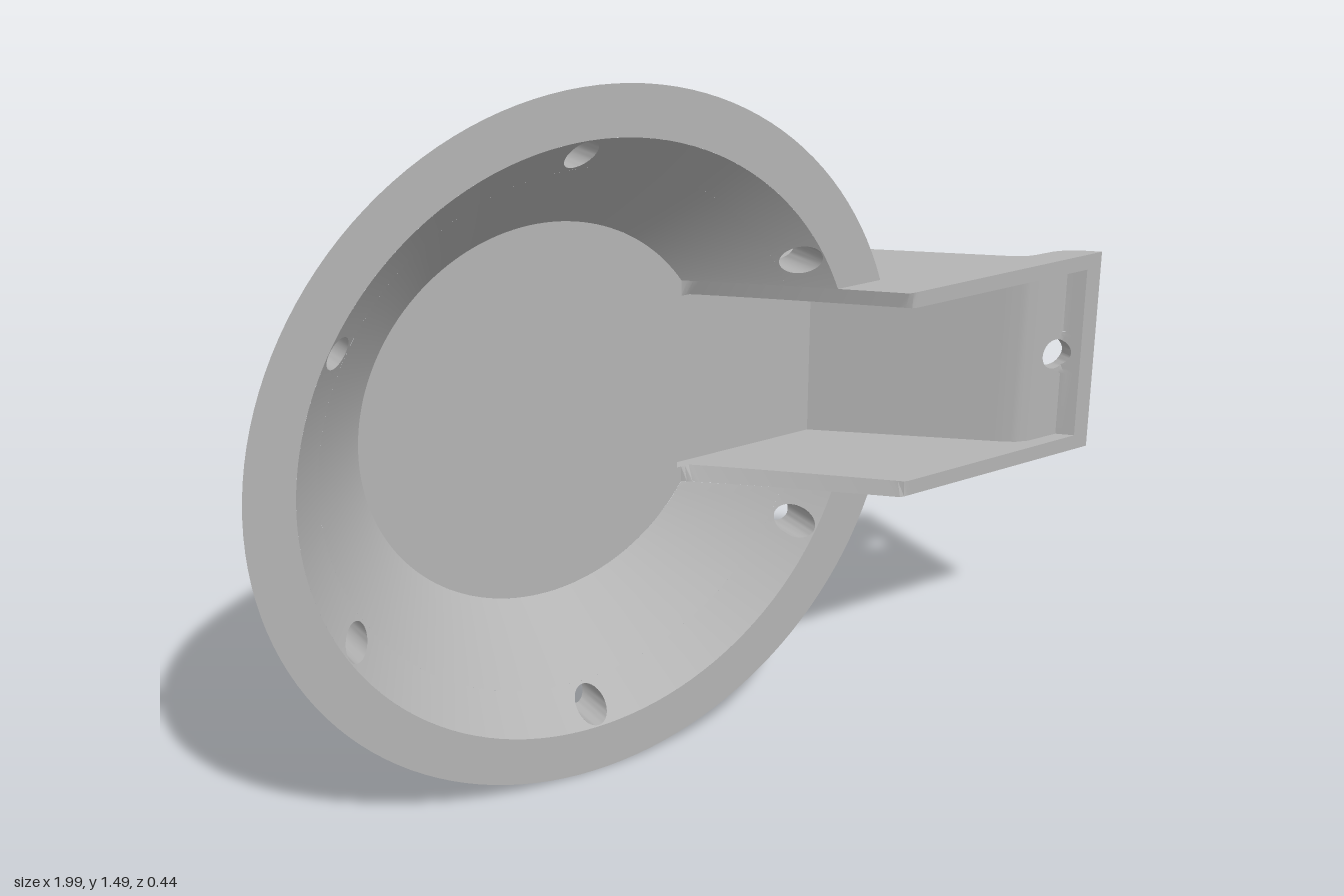
import * as THREE from 'three';
import { toCreasedNormals } from 'three/addons/utils/BufferGeometryUtils.js';

const TAU = Math.PI * 2;
const CX = -0.255, CY = 0.745;            // dish axis
const HALF = 0.235, IN = 0.2;             // arm half width, channel half width
const RIM = 0.11, FLOOR = -0.113, BACK = -0.22, FRONT = 0.215;
const START = 0.345;                      // where the arm meets the dish back
const RC = Math.hypot(START, HALF);       // radius of that corner
const lerp = THREE.MathUtils.lerp;

// Collects triangles; each is wound to face the direction given by dir(point)
class Builder {
  constructor() { this.pos = []; }
  tri(a, b, c, dir) {
    const n = b.clone().sub(a).cross(c.clone().sub(a));
    if (n.length() < 1e-10) return;
    const pts = n.dot(dir(a)) < 0 ? [a, c, b] : [a, b, c];
    for (const p of pts) this.pos.push(p.x, p.y, p.z);
  }
  grid(nu, nv, fn, dir) {
    const at = (i, j) => new THREE.Vector3(...fn(i / nu, j / nv));
    for (let i = 0; i < nu; i++) for (let j = 0; j < nv; j++) {
      const a = at(i, j), b = at(i + 1, j), c = at(i + 1, j + 1), d = at(i, j + 1);
      this.tri(a, b, c, dir);
      this.tri(a, c, d, dir);
    }
  }
  flat(shape, z, dir) {
    const g = new THREE.ShapeGeometry(shape, 96), p = g.attributes.position, ix = g.index.array;
    const at = (i) => new THREE.Vector3(p.getX(i), p.getY(i), z);
    for (let i = 0; i < ix.length; i += 3) this.tri(at(ix[i]), at(ix[i + 1]), at(ix[i + 2]), dir);
  }
  mesh(name, material) {
    const g = new THREE.BufferGeometry();
    g.setAttribute('position', new THREE.Float32BufferAttribute(this.pos, 3));
    const m = new THREE.Mesh(toCreasedNormals(g, 0.45), material);
    m.name = name;
    return m;
  }
}

const toward = (x, y, z) => { const v = new THREE.Vector3(x, y, z); return () => v; };
const front = toward(0, 0, 1), back = toward(0, 0, -1);

// Dish heights by radius
const innerZ = (r) => r - 0.53;
const outerZ = (r) => r < 0.375 ? BACK
  : r < 0.443 ? BACK + 0.028 * ((r - 0.375) / 0.068) ** 2 : r - 0.635;
// Half angle of the gap left for the arm
const gap = (r) => r < RC ? Math.acos(Math.min(1, START / r)) : Math.asin(HALF / r);

function buildDish(material) {
  const b = new Builder();
  const polar = (r, a, f) => [r * Math.cos(a), r * Math.sin(a), f(r)];
  const band = (r0, r1, f, dir, nv, a0 = gap, a1 = (r) => TAU - gap(r), nu = 120) =>
    b.grid(nu, nv, (u, v) => {
      const r = lerp(r0, r1, v);
      return polar(r, lerp(a0(r), a1(r), u), f);
    }, dir);

  // Cone walls and rim
  const h0 = 0.565, h1 = 0.64;
  band(RC, h0, innerZ, front, 2);
  band(h1, 0.745, () => RIM, front, 1);
  band(0.375, RC, outerZ, back, 5);
  band(RC, 0.443, outerZ, back, 3);
  band(0.443, h0, outerZ, back, 2);
  band(h1, 0.745, outerZ, back, 2);

  // Ring of screw holes, drilled along z
  const holeR = 0.604, rad = 0.034, half = THREE.MathUtils.degToRad(4.5);
  for (let k = 0; k < 6; k++) {
    const th = Math.PI / 6 + k * Math.PI / 3;
    const circle = (t) => {
      const x = holeR + rad * Math.cos(t), y = rad * Math.sin(t);
      return [Math.hypot(x, y), th + Math.atan2(y, x)];
    };
    const square = (t) => {
      const c = Math.cos(t), s = Math.sin(t), m = Math.max(Math.abs(c), Math.abs(s));
      return [(h0 + h1) / 2 + c / m * (h1 - h0) / 2, th + s / m * half];
    };
    for (const [f, dir] of [[innerZ, front], [outerZ, back]]) {
      b.grid(32, 2, (u, v) => {
        const p = circle(u * TAU), q = square(u * TAU);
        return polar(lerp(p[0], q[0], v), lerp(p[1], q[1], v), f);
      }, dir);
      // Wall between this hole and the next
      if (k < 5) band(h0, h1, f, dir, 1, () => th + half, () => th + Math.PI / 3 - half, 18);
    }
    const hx = holeR * Math.cos(th), hy = holeR * Math.sin(th);
    b.grid(32, 1, (u, v) => {
      const [r, a] = circle(u * TAU);
      return polar(r, a, v ? innerZ : outerZ);
    }, (p) => new THREE.Vector3(hx - p.x, hy - p.y, 0));
  }
  // Wall from the end holes to the arm
  const first = Math.PI / 6 - half, last = TAU - first;
  for (const [f, dir] of [[innerZ, front], [outerZ, back]]) {
    band(h0, h1, f, dir, 2, gap, () => first, 2);
    band(h0, h1, f, dir, 2, () => last, (r) => TAU - gap(r), 2);
  }

  // Inside floor, notched for the channel, and flat back
  const disc = (r, notch) => {
    const s = new THREE.Shape(), a = gap(r);
    s.absarc(0, 0, r, a, TAU - a, false);
    for (const [x, y] of notch) s.lineTo(x, y);
    return s;
  };
  const n = 0.335;
  b.flat(disc(RC, [[START, -IN], [n, -IN], [n, IN], [START, IN]]), FLOOR, front);
  b.flat(disc(0.375, []), BACK, back);
  return b.mesh('dish', material);
}

function buildArm(material) {
  const b = new Builder();
  // Height along a polyline of [x, z] points
  const along = (pts) => (x) => {
    let i = 1;
    while (i < pts.length - 1 && x > pts[i][0]) i++;
    const [p, q] = [pts[i - 1], pts[i]];
    return lerp(p[1], q[1], THREE.MathUtils.clamp((x - p[0]) / (q[0] - p[0]), 0, 1));
  };
  const outer = along([[0.09, BACK], [0.11, -0.199], [0.14, -0.177], [0.16, -0.17], [0.19, -0.168],
    [0.42, -0.168], [0.45, -0.163], [0.47, -0.153], [0.5, -0.129], [0.79, 0.125], [0.81, 0.141],
    [0.83, 0.151], [0.85, 0.155], [0.9, 0.157], [0.93, 0.166], [0.96, 0.187], [0.99, FRONT]]);
  const inner = along([[0.08, -0.138], [0.45, -0.138], [0.78, 0.15], [0.81, 0.173],
    [0.84, 0.183], [0.92, 0.185], [0.95, FRONT]]);
  // Front edge of the side walls follows the dish cone
  const cap = (x, y) => THREE.MathUtils.clamp(innerZ(Math.hypot(x - CX, y)), FLOOR, FRONT);
  const sheet = (x0, x1, y0, y1, f, dir) =>
    b.grid(Math.round((x1 - x0) * 100), 1, (u, v) => {
      const x = lerp(x0, x1, u), y = lerp(y0, y1, v);
      return [x - CX, y, f(x, y)];
    }, dir);
  const side = (x0, x1, y, f, dir) =>
    b.grid(Math.round((x1 - x0) * 100), 1, (u, v) => {
      const x = lerp(x0, x1, u);
      return [x - CX, y, v ? cap(x, y) : f(x)];
    }, dir);

  // Back skin and channel floor, each with the mounting hole
  const hx = 0.9, rad = 0.035, bx = 0.04, by = 0.05;
  for (const [f, x0, x1, w, dir] of [[outer, 0.09, 0.99, HALF, back], [inner, 0.08, 0.95, IN, front]]) {
    sheet(x0, hx - bx, -w, w, f, dir);
    sheet(hx + bx, x1, -w, w, f, dir);
    sheet(hx - bx, hx + bx, by, w, f, dir);
    sheet(hx - bx, hx + bx, -w, -by, f, dir);
    b.grid(32, 3, (u, v) => {
      const c = Math.cos(u * TAU), s = Math.sin(u * TAU), m = Math.max(Math.abs(c), Math.abs(s));
      const x = hx + lerp(rad * c, bx * c / m, v);
      return [x - CX, lerp(rad * s, by * s / m, v), f(x)];
    }, dir);
  }
  b.grid(32, 1, (u, v) => {
    const x = hx + rad * Math.cos(u * TAU);
    return [x - CX, rad * Math.sin(u * TAU), v ? inner(x) : outer(x)];
  }, (p) => new THREE.Vector3(hx - CX - p.x, -p.y, 0));

  // Side walls with their front edges
  for (const s of [1, -1]) {
    side(0.09, 0.99, s * HALF, outer, toward(0, s, 0));
    side(0.08, 0.95, s * IN, inner, toward(0, -s, 0));
    sheet(0.09, 0.95, s * IN, s * HALF, cap, front);
  }
  // Lip at the tip and the small step down from the dish floor
  sheet(0.95, 0.99, -HALF, HALF, () => FRONT, front);
  b.grid(1, 1, (u, v) => [0.08 - CX, lerp(-IN, IN, u), v ? FLOOR : -0.138], toward(1, 0, 0));
  return b.mesh('arm', material);
}

export function createModel() {
  const grey = new THREE.MeshStandardMaterial({ color: 0xb4b4b4 });
  grey.name = 'grey';
  const group = new THREE.Group();
  group.name = 'dishWithArm';
  const dish = buildDish(grey), arm = buildArm(grey);
  for (const part of [dish, arm]) {
    part.position.set(CX, CY, 0);
    group.add(part);
  }
  return group;
}
